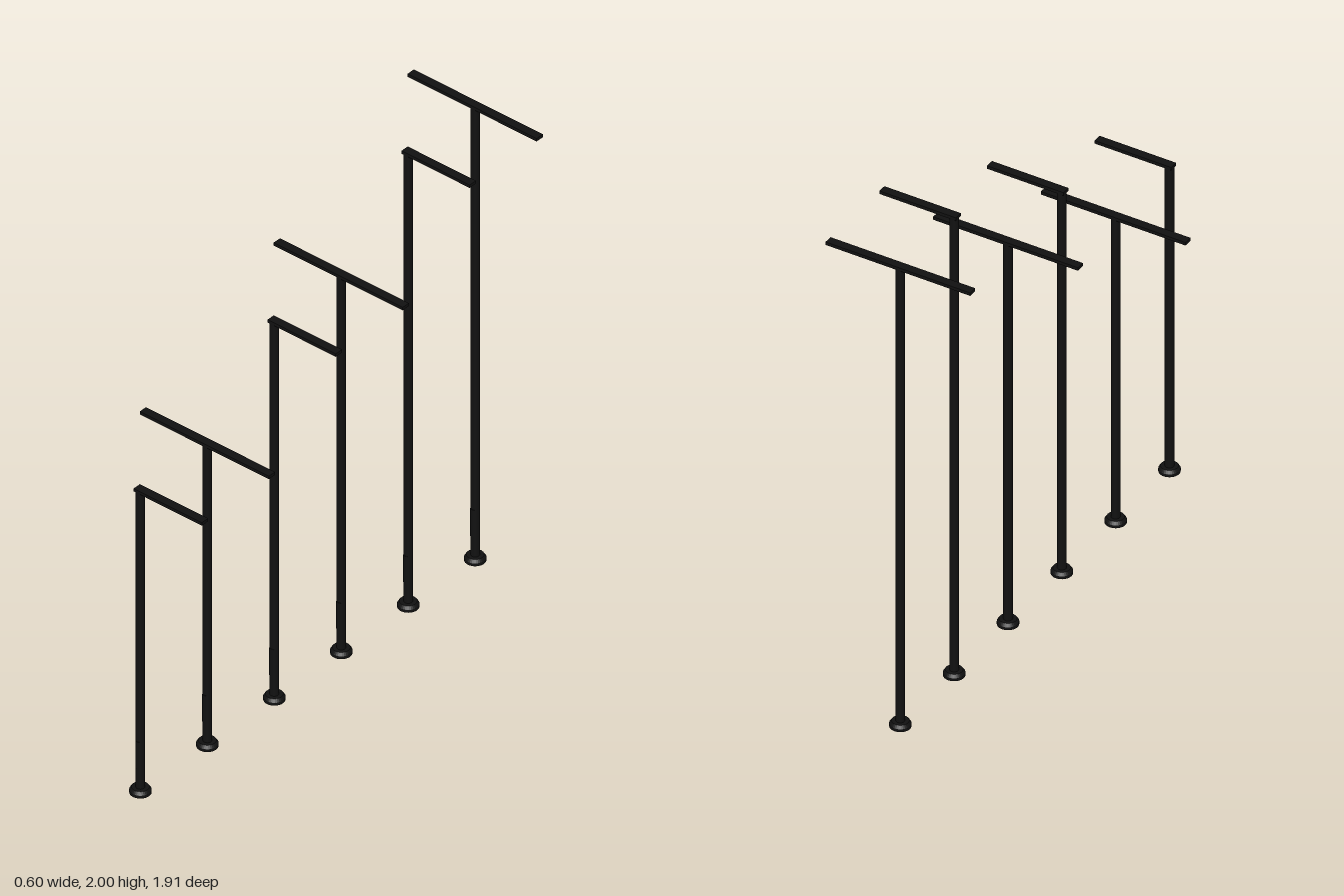
import * as THREE from 'three';

const material = new THREE.MeshStandardMaterial({ color: 0x111111 });
const POST_R = 0.017, BAR_H = 0.013, BAR_D = 0.034, REACH = 0.3;

function add(group, name, geometry, x, y, z) {
  const mesh = new THREE.Mesh(geometry, material);
  mesh.name = name;
  mesh.position.set(x, y, z);
  group.add(mesh);
}

// One pole: round foot, slim post, access cover and a flat bar on top
function createPole(height, doubleArm) {
  const pole = new THREE.Group();
  pole.name = doubleArm ? 'doubleArmPole' : 'singleArmPole';

  const foot = [[0, 0], [0.04, 0], [0.04, 0.012], [0.032, 0.024], [0, 0.024]]
    .map(([r, y]) => new THREE.Vector2(r, y));
  const footGeometry = new THREE.LatheGeometry(foot, 32).toNonIndexed();
  footGeometry.computeVertexNormals();
  add(pole, 'foot', footGeometry, 0, 0, 0);

  const postH = height - 0.001;
  add(pole, 'post', new THREE.CylinderGeometry(POST_R, POST_R, postH, 32), 0, postH / 2, 0);

  // Thin curved cover low on the front of the post
  add(pole, 'accessCover',
    new THREE.CylinderGeometry(POST_R + 0.002, POST_R + 0.002, 0.12, 12, 1, false, -0.6, 1.2), 0, 0.17, 0);

  // Bar reaches both ways, or only to the left from the post
  const start = doubleArm ? -REACH : -POST_R;
  add(pole, 'arm', new THREE.BoxGeometry(REACH - start, BAR_H, BAR_D),
    (REACH + start) / 2, height - BAR_H / 2, 0);
  return pole;
}

export function createModel() {
  const model = new THREE.Group();
  model.name = 'poleSet';
  // Three heights, each with a single-arm and a double-arm pole
  [4 / 3, 5 / 3, 2].forEach((height, i) => {
    [false, true].forEach((doubleArm, j) => {
      const pole = createPole(height, doubleArm);
      pole.position.z = 0.915 - 0.366 * (2 * i + j);
      model.add(pole);
    });
  });
  return model;
}
